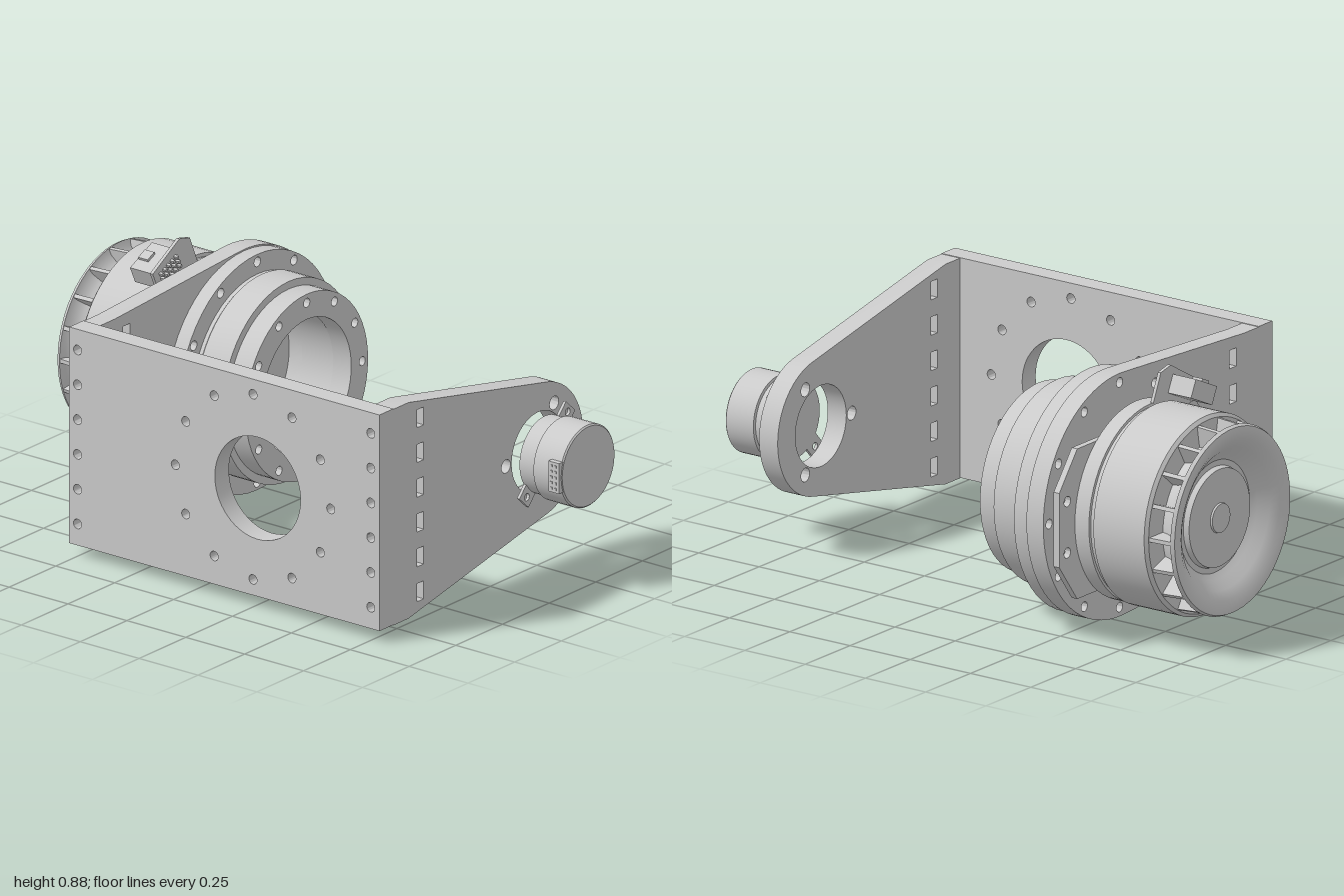
import * as THREE from 'three';
import { toCreasedNormals } from 'three/addons/utils/BufferGeometryUtils.js';

const MAT = new THREE.MeshStandardMaterial({ color: 0xcccccc });
const CY = 0.425, CZ = -0.21; // height and depth of the rotation axis, which runs along x
const SCREW_Y = [0, 1, 2, 3, 4, 5].map(i => 0.118 + i * 0.124);

function add(parent, name, geometry, x = 0, y = 0, z = 0) {
  const mesh = new THREE.Mesh(geometry, MAT);
  mesh.name = name;
  mesh.position.set(x, y, z);
  parent.add(mesh);
  return mesh;
}

// Solid of revolution around the x axis; profile points are [radius, x], from low x outward
function turned(profile, segments = 56) {
  const g = new THREE.LatheGeometry(profile.map(p => new THREE.Vector2(p[0], p[1])), segments);
  g.rotateZ(-Math.PI / 2);
  return toCreasedNormals(g, 0.5);
}

const polygon = pts => new THREE.Shape(pts.map(p => new THREE.Vector2(p[0], p[1])));

function disc(r, x = 0, y = 0) {
  return new THREE.Shape().absarc(x, y, r, 0, Math.PI * 2, false);
}

function drill(shape, x, y, r) {
  shape.holes.push(new THREE.Path().absarc(x, y, r, 0, Math.PI * 2, true));
}

function drillCircle(shape, x, y, radius, r, count, start = 0) {
  for (let i = 0; i < count; i++) {
    const a = start + i * Math.PI * 2 / count;
    drill(shape, x + radius * Math.cos(a), y + radius * Math.sin(a), r);
  }
}

function extrude(shape, depth, curveSegments = 28) {
  const g = new THREE.ExtrudeGeometry(shape, { depth, bevelEnabled: false, curveSegments });
  return toCreasedNormals(g, 0.5);
}

// Plate drawn in (z, y), filling x0..x1
function sidePlate(shape, x0, x1) {
  return extrude(shape, x1 - x0).rotateY(-Math.PI / 2).translate(x1, 0, 0);
}

// Bracket arm: straight edge at the front, tapering tangentially to a round end
function armShape(r) {
  const px = 0.485 - CZ, py = 0.385;
  const a = Math.atan2(py, px) + Math.acos(r / Math.hypot(px, py));
  const s = new THREE.Shape();
  s.moveTo(0.565, CY - py);
  s.lineTo(0.565, CY + py);
  s.lineTo(0.485, CY + py);
  s.absarc(CZ, CY, r, a, Math.PI * 2 - a, false);
  s.lineTo(0.485, CY - py);
  s.closePath();
  // nut slots
  for (const y of SCREW_Y) {
    s.holes.push(polygon([[0.403, y - 0.032], [0.403, y + 0.032], [0.44, y + 0.032], [0.44, y - 0.032]]));
  }
  return s;
}

function buildBracket(root) {
  const g = new THREE.Group();
  g.name = 'bracket';
  root.add(g);

  const front = polygon([[-0.53, 0.042], [0.787, 0.042], [0.787, 0.812], [-0.53, 0.812]]);
  drill(front, 0.27, 0.428, 0.182);
  drillCircle(front, 0.25, 0.428, 0.33, 0.017, 12);
  for (const y of SCREW_Y) for (const x of [-0.495, 0.75]) drill(front, x, y, 0.017);
  add(g, 'frontPlate', extrude(front, 0.075), 0, 0, 0.565);

  const motorArm = armShape(0.425);
  drillCircle(motorArm, CZ, CY, 0.393, 0.017, 12);
  add(g, 'motorSideArm', sidePlate(motorArm, -0.53, -0.46));

  const sensorArm = armShape(0.24);
  drill(sensorArm, CZ, CY, 0.142);
  drillCircle(sensorArm, CZ, CY, 0.172, 0.024, 3);
  add(g, 'sensorSideArm', sidePlate(sensorArm, 0.71, 0.787));
}

function buildGearHousing(axis) {
  const flange = disc(0.42);
  drill(flange, 0, 0, 0.24);
  drillCircle(flange, 0, 0, 0.393, 0.017, 12);
  add(axis, 'gearFlange', sidePlate(flange, -0.46, -0.405));

  add(axis, 'gearHousing', turned([
    [0.24, -0.45], [0.35, -0.45], [0.35, -0.39], [0.355, -0.385], [0.355, -0.272],
    [0.24, -0.272], [0.24, -0.45],
  ]));

  const ring = disc(0.328);
  drill(ring, 0, 0, 0.238);
  drillCircle(ring, 0, 0, 0.297, 0.016, 12);
  add(axis, 'outputRing', sidePlate(ring, -0.272, -0.195));
}

function buildMotor(axis) {
  const g = new THREE.Group();
  g.name = 'motor';
  axis.add(g);

  // drum with a groove near its front
  add(g, 'motorDrum', turned([
    [0, -0.9], [0.335, -0.9], [0.347, -0.89], [0.347, -0.68], [0.335, -0.678],
    [0.335, -0.66], [0.343, -0.658], [0.343, -0.6], [0, -0.6],
  ], 64));

  // flared end bell with a dished centre, carried on fins
  add(g, 'endBell', turned([
    [0, -0.952], [0.05, -0.952], [0.052, -0.945], [0.17, -0.945], [0.175, -0.925], [0.195, -0.925],
    [0.215, -0.94], [0.245, -0.97], [0.275, -0.99], [0.305, -1], [0.322, -0.998], [0.328, -0.985],
    [0.305, -0.978], [0.28, -0.955], [0.262, -0.925], [0.255, -0.895],
  ], 64));
  const finGeo = extrude(polygon([[-0.895, 0.24], [-0.895, 0.332], [-0.985, 0.326], [-0.985, 0.29], [-0.94, 0.26]]), 0.014)
    .translate(0, 0, -0.007);
  for (let i = 0; i < 18; i++) add(g, 'coolingFin', finGeo).rotation.x = (i + 0.5) * Math.PI / 9;

  // mounting plate with clipped corners
  const mount = polygon([
    [-0.33, -0.265], [0.33, -0.265], [0.43, -0.13], [0.43, 0.13],
    [0.33, 0.26], [-0.33, 0.26], [-0.43, 0.13], [-0.43, -0.13],
  ]);
  for (const z of [-0.385, 0.385]) for (const y of [-0.09, 0.09]) drill(mount, z, y, 0.018);
  add(g, 'mountingPlate', sidePlate(mount, -0.6, -0.577));

  add(g, 'hubAndShaft', turned([
    [0, -0.58], [0.135, -0.58], [0.135, -0.557], [0.037, -0.557], [0.037, -0.452], [0, -0.452],
  ], 40));

  // circuit board and plug, tilted around the drum
  const c = new THREE.Group();
  c.name = 'connector';
  c.rotation.x = 25 * Math.PI / 180;
  g.add(c);
  const board = polygon([[-0.13, 0.22], [0.03, 0.22], [0.075, 0.3], [0.075, 0.44], [-0.09, 0.455], [-0.135, 0.42]]);
  add(c, 'circuitBoard', sidePlate(board, -0.66, -0.648));
  add(c, 'plugHousing', new THREE.BoxGeometry(0.095, 0.065, 0.13), -0.708, 0.396, 0);
  add(c, 'plugLatch', new THREE.BoxGeometry(0.04, 0.012, 0.04), -0.73, 0.432, 0);
  const pin = new THREE.BoxGeometry(0.016, 0.01, 0.01);
  for (let i = 0; i < 5; i++) {
    for (const y of [0.375, 0.395, 0.415]) add(c, 'pin', pin, -0.642, y, (i - 2) * 0.022);
  }
}

function buildSensor(axis) {
  const g = new THREE.Group();
  g.name = 'rotarySensor';
  axis.add(g);
  add(g, 'sensorBody', turned([
    [0, 0.815], [0.135, 0.815], [0.135, 0.88], [0.145, 0.882], [0.145, 0.995], [0.14, 1], [0, 1],
  ], 48));

  // two opposite mounting ears
  const ear = polygon([[0.1, -0.033], [0.185, -0.033], [0.185, 0.033], [0.1, 0.033]]);
  drill(ear, 0.162, 0, 0.013);
  const earGeo = sidePlate(ear, 0.815, 0.826);
  for (const a of [0, Math.PI]) add(g, 'mountingEar', earGeo).rotation.x = 0.83 + a;

  // socket with contacts on the front of the body
  add(g, 'socket', new THREE.BoxGeometry(0.045, 0.108, 0.04), 0.975, 0, 0.134);
  const contact = new THREE.BoxGeometry(0.008, 0.008, 0.004);
  for (let i = 0; i < 5; i++) {
    for (const x of [0.966, 0.984]) add(g, 'contact', contact, x, (i - 2) * 0.02, 0.155);
  }
}

export function createModel() {
  const root = new THREE.Group();
  root.name = 'motorBracketAssembly';
  buildBracket(root);
  const axis = new THREE.Group();
  axis.name = 'rotationAxis';
  axis.position.set(0, CY, CZ);
  root.add(axis);
  buildGearHousing(axis);
  buildMotor(axis);
  buildSensor(axis);
  return root;
}
